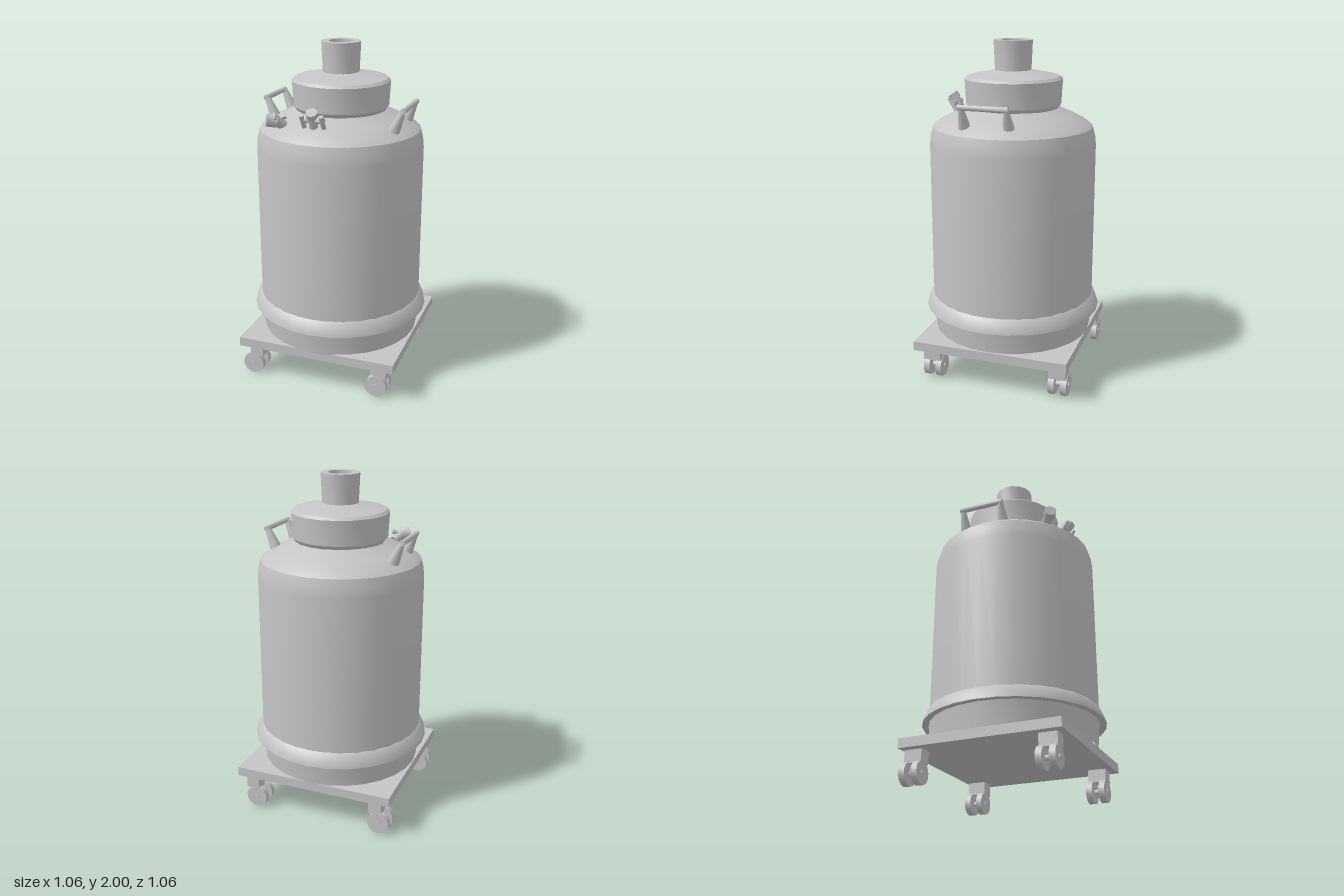
import * as THREE from 'three';
import { toCreasedNormals } from 'three/addons/utils/BufferGeometryUtils.js';

const steel = new THREE.MeshStandardMaterial({ color: 0xc4c4c4 });
steel.name = 'grey steel';

function add(parent, name, geometry, x = 0, y = 0, z = 0) {
  const mesh = new THREE.Mesh(geometry, steel);
  mesh.name = name;
  mesh.position.set(x, y, z);
  parent.add(mesh);
  return mesh;
}

// Surface of revolution, profile listed as [radius, height] from bottom to top
function turned(profile, segments, crease = 0.5) {
  const points = profile.map(([r, y]) => new THREE.Vector2(r, y));
  return toCreasedNormals(new THREE.LatheGeometry(points, segments), crease);
}

// Round bar between two points, tapering from radius r to r2
function bar(parent, name, a, b, r, r2 = r) {
  const from = new THREE.Vector3(...a), to = new THREE.Vector3(...b);
  const dir = to.clone().sub(from);
  const geometry = new THREE.CylinderGeometry(r2, r, dir.length(), 8);
  const mesh = add(parent, name, toCreasedNormals(geometry, 0.9));
  mesh.position.copy(from).add(to).multiplyScalar(0.5);
  mesh.quaternion.setFromUnitVectors(new THREE.Vector3(0, 1, 0), dir.normalize());
}

// Square trolley plate whose top is open under the vessel
function platform() {
  const group = new THREE.Group();
  group.name = 'platform';
  const width = 0.968, depth = 0.938, x = 0.001, z = -0.005;
  const tray = new THREE.BoxGeometry(width, 0.055, depth);
  tray.setIndex([...tray.index.array].filter((_, i) => i < 12 || i >= 18));
  tray.clearGroups();
  add(group, 'platformTray', tray, x, 0.2275, z);

  const [w, d] = [width / 2, depth / 2];
  const top = new THREE.Shape([[-w, -d], [w, -d], [w, d], [-w, d]].map(p => new THREE.Vector2(...p)));
  top.holes.push(new THREE.Path().absarc(-x, z, 0.46, 0, Math.PI * 2, true));
  add(group, 'platformTop', new THREE.ShapeGeometry(top, 14).rotateX(-Math.PI / 2), x, 0.255, z);
  return group;
}

// Swivel caster with twin wheels, trailing towards -x
function caster(x, z) {
  const group = new THREE.Group();
  group.name = 'caster';
  group.position.set(x, 0, z);
  add(group, 'casterBody', new THREE.BoxGeometry(0.08, 0.08, 0.105), -0.002, 0.165, 0);
  for (const side of [-1, 1]) {
    const wheel = new THREE.CylinderGeometry(0.066, 0.066, 0.036, 14).rotateX(Math.PI / 2);
    add(group, 'wheel', toCreasedNormals(wheel, 0.7), -0.025, 0.07, side * 0.037);
  }
  bar(group, 'axle', [-0.025, 0.07, -0.06], [-0.025, 0.07, 0.06], 0.016);
  return group;
}

// Carrying handle leaning outwards from the shoulder
function handle(side, z0, z1) {
  const group = new THREE.Group();
  group.name = side > 0 ? 'leftHandle' : 'rightHandle';
  for (const z of [z0, z1]) {
    bar(group, 'handlePost', [side * 0.37, 1.545, z], [side * 0.425, 1.67, z], 0.036, 0.015);
  }
  bar(group, 'handleGrip', [side * 0.425, 1.662, z0 - 0.015], [side * 0.425, 1.662, z1 + 0.015], 0.016);
  return group;
}

export function createModel() {
  const model = new THREE.Group();
  model.name = 'tankOnTrolley';

  // Trolley
  model.add(platform());
  for (const x of [-0.39, 0.395]) {
    for (const z of [-0.408, 0.37]) model.add(caster(x, z));
  }

  // Vessel
  add(model, 'baseRing', turned([[0.476, 0.25], [0.493, 0.4]], 28));
  add(model, 'bumperRing', turned([
    [0.488, 0.395], [0.53, 0.395], [0.527, 0.41], [0.504, 0.465], [0.489, 0.478],
  ], 28));
  add(model, 'tankBody', turned([
    [0.49, 0.47], [0.49, 1.4], [0.485, 1.45], [0.47, 1.505],
    [0.43, 1.537], [0.36, 1.572], [0.265, 1.615],
  ], 32, 0.6));

  // Lid and neck with open mouth
  add(model, 'lid', turned([
    [0.262, 1.612], [0.278, 1.635], [0.286, 1.78], [0.27, 1.795], [0.1, 1.83],
  ], 20, 0.4), 0.003, 0, -0.006);
  add(model, 'neck', turned([
    [0.106, 1.82], [0.114, 2], [0.07, 2], [0.068, 1.88], [0, 1.88],
  ], 14, 0.6), 0.003, 0, -0.003);

  // Handles
  model.add(handle(1, -0.1, 0.16), handle(-1, -0.155, 0.09));

  // Corner valve pointing up and outwards
  const valve = new THREE.Group();
  valve.name = 'cornerValve';
  bar(valve, 'valveStem', [-0.23, 1.56, 0.3], [-0.275, 1.615, 0.355], 0.03);
  bar(valve, 'valveCap', [-0.255, 1.59, 0.335], [-0.305, 1.6, 0.365], 0.036);
  bar(valve, 'valveLever', [-0.215, 1.615, 0.3], [-0.3, 1.575, 0.345], 0.014);
  model.add(valve);

  // Front valve with cross handle
  const tap = new THREE.Group();
  tap.name = 'frontValve';
  bar(tap, 'tapStem', [-0.03, 1.55, 0.33], [-0.03, 1.65, 0.375], 0.026);
  bar(tap, 'tapBar', [-0.095, 1.62, 0.365], [0.04, 1.62, 0.365], 0.016);
  for (const x of [-0.085, 0.03]) {
    bar(tap, 'tapNozzle', [x, 1.575, 0.345], [x, 1.65, 0.39], 0.014);
  }
  bar(tap, 'tapKnob', [-0.03, 1.64, 0.37], [-0.025, 1.67, 0.39], 0.033);
  model.add(tap);

  return model;
}
